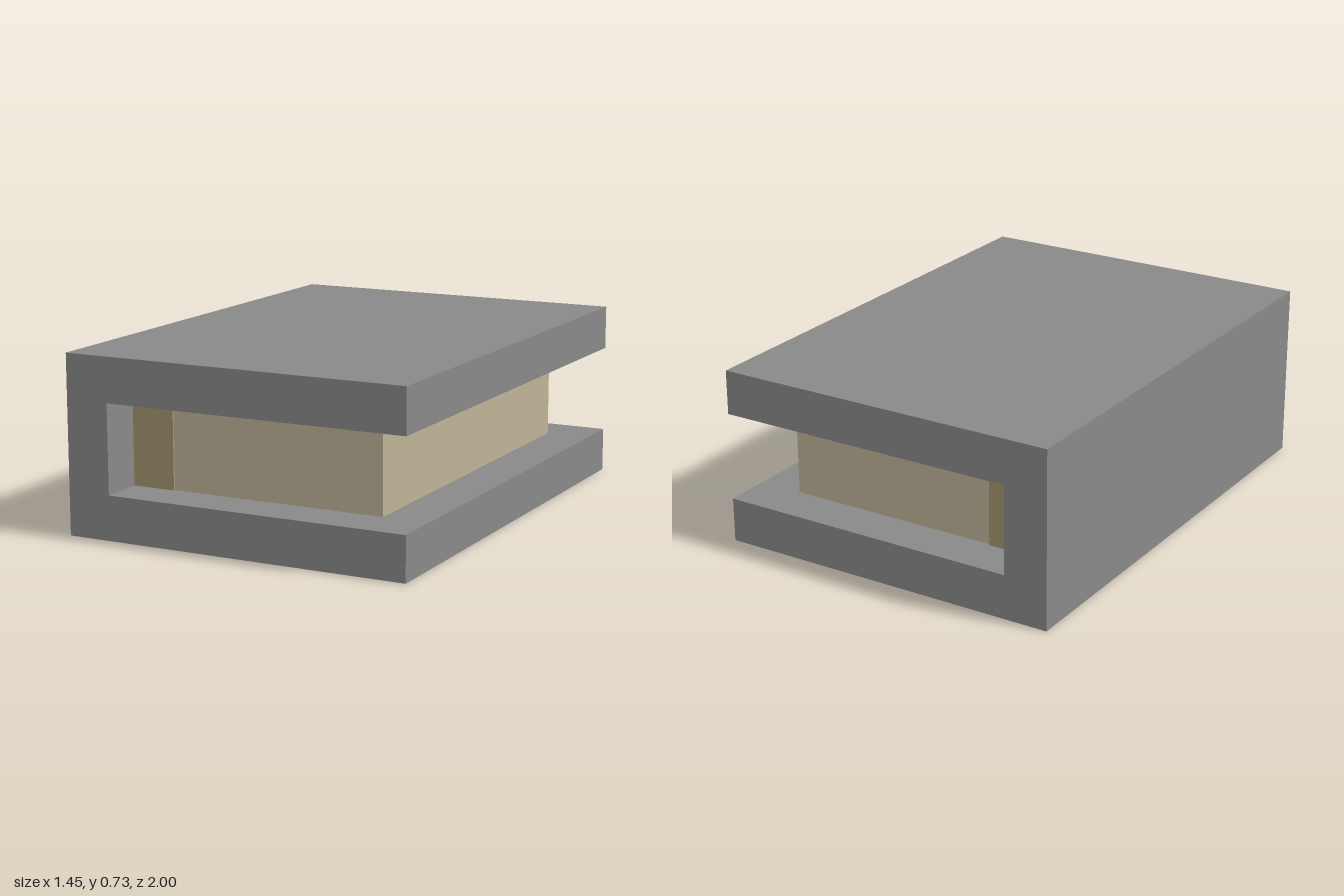
import * as THREE from 'three';

const coverMat = new THREE.MeshStandardMaterial({ name: 'coverGrey', color: 0x898989 });
const pageMat = new THREE.MeshStandardMaterial({ name: 'pageCream', color: 0xbfb296 });
const bindingMat = new THREE.MeshStandardMaterial({ name: 'bindingTan', color: 0xa39570 });

// Box spanning x0..x1, y0..y1 and centred on z
function block(name, mat, x0, x1, y0, y1, depth) {
  const mesh = new THREE.Mesh(new THREE.BoxGeometry(x1 - x0, y1 - y0, depth), mat);
  mesh.position.set((x0 + x1) / 2, (y0 + y1) / 2, 0);
  mesh.name = name;
  return mesh;
}

export function createModel() {
  const book = new THREE.Group();
  book.name = 'book';
  const w = 0.727, h = 0.727, t = 0.182;

  // Cover: a C-shaped section with both boards and the spine in one piece
  const section = new THREE.Shape([
    [-w, 0], [w, 0], [w, t], [-w + t, t],
    [-w + t, h - t], [w, h - t], [w, h], [-w, h],
  ].map(([x, y]) => new THREE.Vector2(x, y)));
  const coverGeo = new THREE.ExtrudeGeometry(section, { depth: 2, bevelEnabled: false });
  coverGeo.translate(0, 0, -1);
  const cover = new THREE.Mesh(coverGeo, coverMat);
  cover.name = 'cover';
  book.add(cover);

  // Binding strip against the spine, a touch longer than the page block
  const seam = -w + 2 * t;
  book.add(block('binding', bindingMat, -w + t, seam, t, h - t, 1.636));
  book.add(block('pages', pageMat, seam, 0.541, t, h - t, 1.62));
  return book;
}
